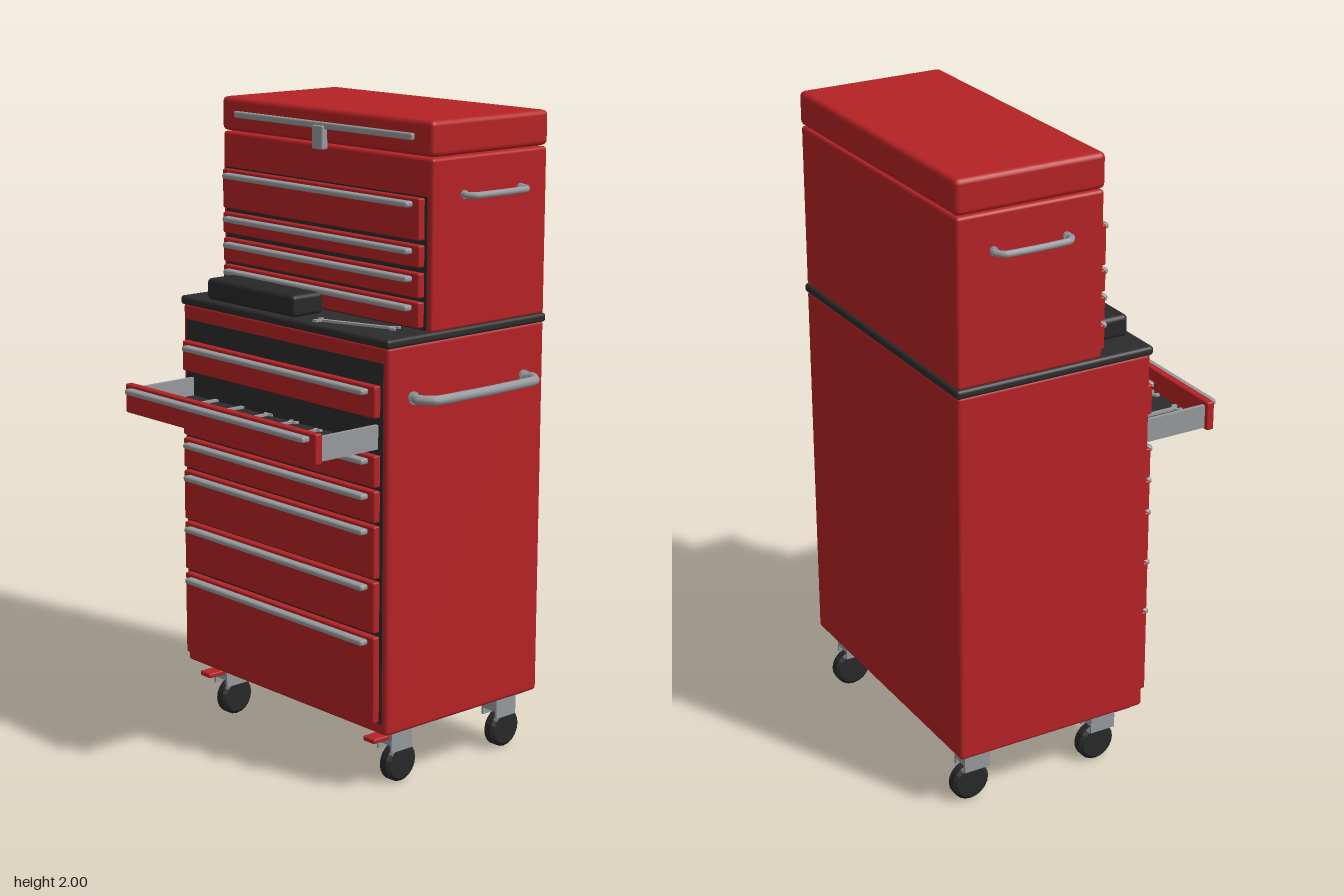
import * as THREE from 'three';
import { RoundedBoxGeometry } from 'three/addons/geometries/RoundedBoxGeometry.js';

const mat = (name, color, side = THREE.FrontSide) => {
  const m = new THREE.MeshStandardMaterial({ color, side });
  m.name = name;
  return m;
};

export function createModel() {
  const red = mat('red paint', 0xb52225);
  const dark = mat('dark liner', 0x2c2c2c);
  const rubber = mat('black rubber', 0x282828);
  const steel = mat('brushed steel', 0x96999c);
  const root = new THREE.Group();
  root.name = 'toolChest';

  const add = (name, geometry, material, parent = root) => {
    const mesh = new THREE.Mesh(geometry, material);
    mesh.name = name;
    parent.add(mesh);
    return mesh;
  };
  // Box given by its limits on each axis, with optional rounded edges
  const box = (name, [x0, x1], [y0, y1], [z0, z1], material, r = 0, parent = root) => {
    const s = [x1 - x0, y1 - y0, z1 - z0];
    const g = r ? new RoundedBoxGeometry(...s, 2, r) : new THREE.BoxGeometry(...s);
    const mesh = add(name, g, material, parent);
    mesh.position.set((x0 + x1) / 2, (y0 + y1) / 2, (z0 + z1) / 2);
    return mesh;
  };

  const bodyX = [-0.495, 0.455], frontX = [-0.468, 0.426], pullX = [-0.44, 0.4];

  // Carcasses, worktop mat and lid
  box('cabinet', bodyX, [0.19, 1.367], [-0.458, 0.18], red, 0.012);
  box('worktopMat', [-0.502, 0.46], [1.362, 1.39], [-0.463, 0.186], dark, 0.01);
  box('topChest', bodyX, [1.387, 1.892], [-0.457, 0.012], red, 0.01);
  box('lid', [-0.497, 0.457], [1.895, 2], [-0.46, 0.016], red, 0.016);
  box('cabinetRecess', [-0.477, 0.435], [0.225, 1.318], [0.177, 0.182], dark);
  box('chestRecess', [-0.477, 0.435], [1.392, 1.782], [0.009, 0.014], dark);

  // Lid pull and latch
  box('lidPull', [-0.425, 0.382], [1.939, 1.96], [0.012, 0.028], steel, 0.006);
  box('latch', [-0.045, 0.003], [1.878, 1.95], [0.012, 0.036], steel, 0.005);

  // Drawer front with a full-width pull
  const drawer = (name, y0, y1, z) => {
    const g = new THREE.Group();
    g.name = name;
    root.add(g);
    box('drawerFront', frontX, [y0, y1], [z, z + 0.025], red, 0.005, g);
    box('drawerPull', pullX, [y1 - 0.027, y1 - 0.009], [z + 0.022, z + 0.052], steel, 0.007, g);
    return g;
  };
  [[1.656, 1.778], [1.577, 1.642], [1.488, 1.561], [1.4, 1.476]]
    .forEach(([a, b], i) => drawer('chestDrawer' + (i + 1), a, b, 0.013));
  [[1.158, 1.253], [0.952, 1.047], [0.846, 0.941], [0.676, 0.835], [0.51, 0.666], [0.23, 0.497]]
    .forEach(([a, b], i) => drawer('cabinetDrawer' + (i + 1), a, b, 0.182));

  // Flat double open-ended wrench, lying along z
  const wrench = (parent, length, width, x, y, z, angle = 0) => {
    const h = length / 2, w = width / 2, s = width * 0.16;
    const quarter = [[w * 0.45, h - w * 0.55], [w * 0.45, h], [w, h], [w, h - w * 0.7], [s, h - w * 1.15]];
    const side = [...quarter, ...quarter.map(([a, b]) => [a, -b]).reverse()];
    const outline = [...side, ...side.map(([a, b]) => [-a, b]).reverse()];
    const shape = new THREE.Shape(outline.map(([a, b]) => new THREE.Vector2(a, b)));
    const g = new THREE.ExtrudeGeometry(shape, { depth: 0.008, bevelEnabled: false });
    g.rotateX(-Math.PI / 2);
    const mesh = add('wrench', g, steel, parent);
    mesh.position.set(x, y, z);
    mesh.rotation.y = angle;
  };

  // Pulled-out drawer with steel sides and a row of wrenches
  const open = drawer('openDrawer', 1.057, 1.148, 0.405);
  for (const x of [-0.455, 0.402]) box('drawerSide', [x, x + 0.013], [1.063, 1.135], [0.15, 0.41], steel, 0, open);
  box('drawerFloor', [-0.445, 0.405], [1.063, 1.078], [0.17, 0.408], dark, 0, open);
  [[0.24, 0.042], [0.24, 0.042], [0.216, 0.038], [0.19, 0.034], [0.16, 0.029], [0.13, 0.023]]
    .forEach(([l, w], i) => wrench(open, l, w, -0.328 + i * 0.1262, 1.077, 0.28));

  // Items on the worktop
  box('toolCase', [-0.397, 0.02], [1.388, 1.456], [0.045, 0.164], rubber, 0.014);
  wrench(root, 0.275, 0.042, 0.228, 1.389, 0.1, -1.25);

  // Bent tube grip on a side wall, sign +1 for left and -1 for right
  const grip = (name, sign, wall, reach, z0, z1, y, r) => {
    const c = reach * 0.5, zm = (z0 + z1) / 2;
    const path = [[-0.015, z0 + r], [c * 0.8, z0], [reach * 0.92, z0 + c * 0.9], [reach, zm],
      [reach * 0.92, z1 - c * 0.9], [c * 0.8, z1], [-0.015, z1 - r]]
      .map(([d, z]) => new THREE.Vector3(wall + sign * d, y, z));
    const curve = new THREE.CatmullRomCurve3(path, false, 'catmullrom', 0.15);
    add(name, new THREE.TubeGeometry(curve, 48, r, 10), steel);
    // Mounting collars
    for (const z of [z0 + r * 0.5, z1 - r * 0.5]) {
      const collar = add('gripCollar', new THREE.CylinderGeometry(r * 1.3, r * 1.3, 0.01, 12), steel);
      collar.rotation.z = Math.PI / 2;
      collar.position.set(wall + sign * 0.003, y, z);
    }
  };
  grip('chestGripLeft', 1, 0.455, 0.045, -0.348, -0.106, 1.78, 0.01);
  grip('chestGripRight', -1, -0.495, 0.045, -0.348, -0.106, 1.78, 0.01);
  grip('pushHandle', 1, 0.455, 0.08, -0.378, 0.092, 1.208, 0.015);

  // Casters: plate, fork and chamfered wheel; the front pair has brake tabs
  const rim = [[0, -0.022], [0.05, -0.022], [0.061, -0.013], [0.061, 0.013], [0.05, 0.022], [0, 0.022]]
    .map(([a, b]) => new THREE.Vector2(a, b));
  const wheelGeo = new THREE.LatheGeometry(rim, 20).toNonIndexed();
  wheelGeo.computeVertexNormals();
  wheelGeo.rotateZ(Math.PI / 2);
  for (const x of [-0.412, 0.372]) for (const z of [0.07, -0.375]) {
    const c = new THREE.Group();
    c.name = 'caster';
    c.position.set(x, 0, z);
    root.add(c);
    box('casterPlate', [-0.055, 0.055], [0.178, 0.192], [-0.05, 0.05], steel, 0, c);
    box('forkCrown', [-0.033, 0.033], [0.13, 0.18], [-0.042, 0.042], steel, 0, c);
    for (const s of [-0.029, 0.029]) box('forkArm', [s - 0.004, s + 0.004], [0.108, 0.135], [-0.042, 0.042], steel, 0, c);
    add('wheel', wheelGeo, rubber, c).position.set(0, 0.062, -0.013);
    if (z > 0) box('brakeTab', [-0.025, 0.025], [0.15, 0.165], [0.04, 0.107], red, 0.004, c);
  }
  return root;
}
